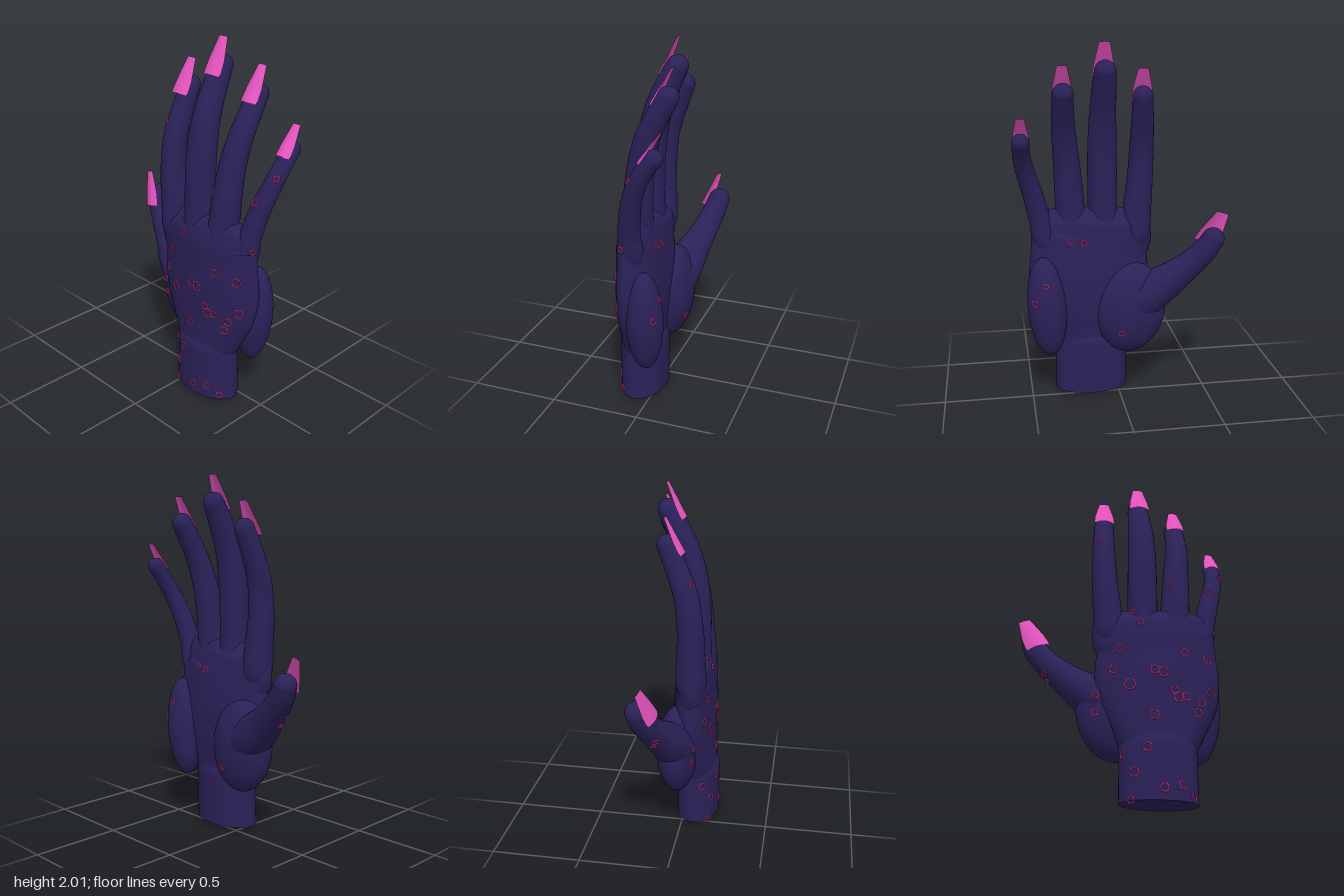
import * as THREE from 'three';

const skin = new THREE.MeshStandardMaterial({ color: 0x2b2159 });
skin.name = 'dark purple skin';
const nailPink = new THREE.MeshStandardMaterial({ color: 0xe654c0, side: THREE.DoubleSide });
nailPink.name = 'nail pink';
const ringPink = new THREE.MeshStandardMaterial({ color: 0xe0408f });
ringPink.name = 'ring pink';

const SIDES = 28;

// Smooth open-ended loft through sections [x, y, z, sideRadius, depthRadius]
function loft(sections, steps) {
  const path = new THREE.CatmullRomCurve3(sections.map(s => new THREE.Vector3(s[0], s[1], s[2])));
  const size = new THREE.CatmullRomCurve3(sections.map((s, i) => new THREE.Vector3(s[3], s[4], i * 0.1)));
  const pos = [], index = [];
  for (let j = 0; j <= steps; j++) {
    const t = j / steps;
    const c = path.getPoint(t), r = size.getPoint(t), up = path.getTangent(t);
    const side = new THREE.Vector3().crossVectors(up, new THREE.Vector3(0, 0, 1)).normalize();
    const front = new THREE.Vector3().crossVectors(side, up);
    for (let i = 0; i < SIDES; i++) {
      const a = (i / SIDES) * Math.PI * 2;
      const p = c.clone().addScaledVector(side, r.x * Math.cos(a)).addScaledVector(front, r.y * Math.sin(a));
      pos.push(p.x, p.y, p.z);
      const k = j * SIDES + i, n = j * SIDES + (i + 1) % SIDES;
      if (j < steps) index.push(k, k + SIDES, n, n, k + SIDES, n + SIDES);
    }
  }
  return surface(pos, index);
}

function surface(pos, index) {
  const g = new THREE.BufferGeometry();
  g.setAttribute('position', new THREE.Float32BufferAttribute(pos, 3));
  g.setIndex(index);
  g.computeVertexNormals();
  return g;
}

// Tapered, slightly arched nail plate from its root to its tip
function nailGeometry(root, tip, halfWidth, side) {
  const a = new THREE.Vector3(...root);
  const along = new THREE.Vector3(...tip).sub(a);
  const s = new THREE.Vector3(...side).normalize();
  const out = new THREE.Vector3().crossVectors(s, along).normalize();
  const rows = [[0, 0.92], [0.1, 1], [0.4, 0.92], [1, 0.5]], cols = 8;
  const pos = [], index = [];
  rows.forEach(([t, w], j) => {
    for (let i = 0; i <= cols; i++) {
      const u = (i / cols) * 2 - 1;
      const p = a.clone().addScaledVector(along, t)
        .addScaledVector(s, u * w * halfWidth)
        .addScaledVector(out, 0.012 - 0.02 * u * u * w * w);
      pos.push(p.x, p.y, p.z);
      const k = j * (cols + 1) + i;
      if (j < rows.length - 1 && i < cols) {
        index.push(k, k + 1, k + cols + 1, k + 1, k + cols + 2, k + cols + 1);
      }
    }
  });
  return surface(pos, index);
}

// Digits: sections [x, y, z, radius]; nail: root, tip, half width, side direction
const digits = {
  index: {
    path: [[-0.09, 0.8, 0.06, 0.03], [-0.1, 0.93, 0.065, 0.082], [-0.112, 1.07, 0.065, 0.08],
      [-0.128, 1.25, 0.065, 0.072], [-0.133, 1.45, 0.042, 0.066], [-0.128, 1.6, -0.01, 0.06],
      [-0.12, 1.72, -0.058, 0.055]],
    nail: [[-0.128, 1.68, 0.026], [-0.12, 1.86, -0.075], 0.059, [1, 0, 0]],
  },
  middle: {
    path: [[0.08, 0.82, 0.06, 0.03], [0.08, 0.96, 0.07, 0.084], [0.082, 1.1, 0.07, 0.083],
      [0.084, 1.4, 0.06, 0.081], [0.085, 1.6, 0.025, 0.074], [0.085, 1.75, -0.034, 0.066],
      [0.085, 1.855, -0.086, 0.058]],
    nail: [[0.086, 1.815, 0], [0.088, 2, -0.098], 0.059, [1, 0, 0]],
  },
  ring: {
    path: [[0.245, 0.82, 0.06, 0.03], [0.255, 0.95, 0.07, 0.083], [0.265, 1.1, 0.067, 0.082],
      [0.282, 1.35, 0.043, 0.073], [0.3, 1.53, -0.003, 0.065], [0.308, 1.65, -0.062, 0.06],
      [0.31, 1.745, -0.116, 0.056]],
    nail: [[0.31, 1.71, -0.036], [0.315, 1.885, -0.145], 0.054, [1, 0, 0]],
  },
  little: {
    path: [[0.36, 0.78, 0.055, 0.03], [0.405, 0.92, 0.055, 0.068], [0.433, 1.04, 0.05, 0.06],
      [0.474, 1.2, 0.025, 0.055], [0.512, 1.33, -0.018, 0.05], [0.53, 1.43, -0.072, 0.047],
      [0.535, 1.5, -0.125, 0.046]],
    nail: [[0.53, 1.475, -0.053], [0.535, 1.62, -0.163], 0.046, [1, 0, 0]],
  },
  thumb: {
    path: [[-0.02, 0.5, 0, 0.05], [-0.11, 0.56, -0.015, 0.115], [-0.22, 0.645, -0.045, 0.108],
      [-0.32, 0.73, -0.08, 0.086], [-0.41, 0.815, -0.113, 0.073], [-0.47, 0.89, -0.137, 0.067],
      [-0.5, 0.945, -0.152, 0.062]],
    nail: [[-0.475, 0.9, -0.066], [-0.555, 1.08, -0.14], 0.066, [1, 0.3, 0.2]],
  },
};

// Little rings on the back of the hand and fingers: [x, y, radius]
const frontRings = [
  [-0.165, 1.53, 0.014], [0.02, 1.06, 0.014], [0.055, 0.985, 0.016], [-0.055, 0.83, 0.02],
  [0.29, 0.82, 0.02], [0.42, 0.8, 0.024], [-0.005, 0.625, 0.028], [0.125, 0.71, 0.022],
  [0.17, 0.7, 0.026], [0.23, 0.6, 0.02], [0.25, 0.565, 0.026], [0.29, 0.57, 0.02],
  [0.375, 0.55, 0.023], [0.435, 0.615, 0.026], [0.355, 0.49, 0.022], [0.12, 0.46, 0.023],
  [-0.175, 0.58, 0.017], [-0.175, 0.49, 0.017], [-0.035, 0.26, 0.02], [0.08, 0.285, 0.022],
  [0.015, 0.16, 0.024], [0.16, 0.08, 0.021], [0.255, 0.1, 0.02], [0.32, 0.05, 0.018],
  [0, 0.022, 0.018], [-0.09, 0.71, 0.02], [0.47, 1.25, 0.019], [0.55, 1.38, 0.015],
  [0.225, 1.25, 0.014], [-0.44, 0.75, 0.017], [-0.415, 0.71, 0.014], [0.48, 0.98, 0.015],
];
const backRings = [[0.2, 0.92, 0.016], [0.27, 0.93, 0.016], [0.42, 0.7, 0.014], [0.48, 0.6, 0.018], [0, 0.4, 0.016]];

export function createModel() {
  const model = new THREE.Group();
  model.name = 'hand';
  const flesh = [];
  const add = (geometry, material, name) => {
    const mesh = new THREE.Mesh(geometry, material);
    mesh.name = name;
    model.add(mesh);
    if (material === skin) flesh.push(mesh);
    return mesh;
  };
  const ellipsoid = (name, x, y, z, rx, ry, rz, tilt) => {
    const mesh = add(new THREE.SphereGeometry(1, 48, 28).scale(rx, ry, rz), skin, name);
    mesh.position.set(x, y, z);
    mesh.rotation.z = tilt;
  };

  // Wrist with a rounded top that runs into the palm
  add(new THREE.CylinderGeometry(1, 1, 0.282, 48).scale(0.205, 1, 0.125).translate(0.155, 0.159, 0.075), skin, 'wrist');
  ellipsoid('wristTop', 0.155, 0.3, 0.075, 0.205, 0.13, 0.125, 0);

  // Palm
  add(loft([
    [0.155, 0.22, 0.075, 0.15, 0.09], [0.155, 0.3, 0.075, 0.2, 0.11], [0.158, 0.4, 0.072, 0.25, 0.112],
    [0.162, 0.55, 0.062, 0.318, 0.118], [0.162, 0.7, 0.06, 0.34, 0.12], [0.158, 0.85, 0.063, 0.33, 0.113],
    [0.145, 0.94, 0.068, 0.342, 0.106], [0.145, 1.02, 0.068, 0.31, 0.093], [0.14, 1.08, 0.068, 0.22, 0.055],
    [0.14, 1.1, 0.068, 0.005, 0.003],
  ], 54), skin, 'palm');

  // Fleshy pads of the palm
  ellipsoid('thumbPad', -0.065, 0.52, -0.015, 0.2, 0.265, 0.115, 0.12);
  ellipsoid('littleFingerPad', 0.41, 0.55, -0.02, 0.108, 0.29, 0.1, -0.07);

  // Fingers, rounded tips and nails
  for (const [name, { path, nail }] of Object.entries(digits)) {
    add(loft(path.map(([x, y, z, r]) => [x, y, z, r, r]), 36), skin, name + 'Finger');
    const [x, y, z, r] = path[path.length - 1];
    add(new THREE.SphereGeometry(r, 28, 18).translate(x, y, z), skin, name + 'Tip');
    add(nailGeometry(...nail), nailPink, name + 'Nail');
  }

  // Small rings laid flat on the skin
  model.updateMatrixWorld(true);
  const ray = new THREE.Raycaster();
  const placeRings = (list, dir) => list.forEach(([x, y, r]) => {
    ray.set(new THREE.Vector3(x, y, dir * 2), new THREE.Vector3(0, 0, -dir));
    const hit = ray.intersectObjects(flesh)[0];
    if (!hit) return;
    const normal = hit.face.normal.clone().transformDirection(hit.object.matrixWorld);
    const ring = add(new THREE.TorusGeometry(r, 0.004, 6, 24), ringPink, 'smallRing');
    ring.position.copy(hit.point).addScaledVector(normal, 0.002);
    ring.quaternion.setFromUnitVectors(new THREE.Vector3(0, 0, 1), normal);
  });
  placeRings(frontRings, 1);
  placeRings(backRings, -1);

  return model;
}
